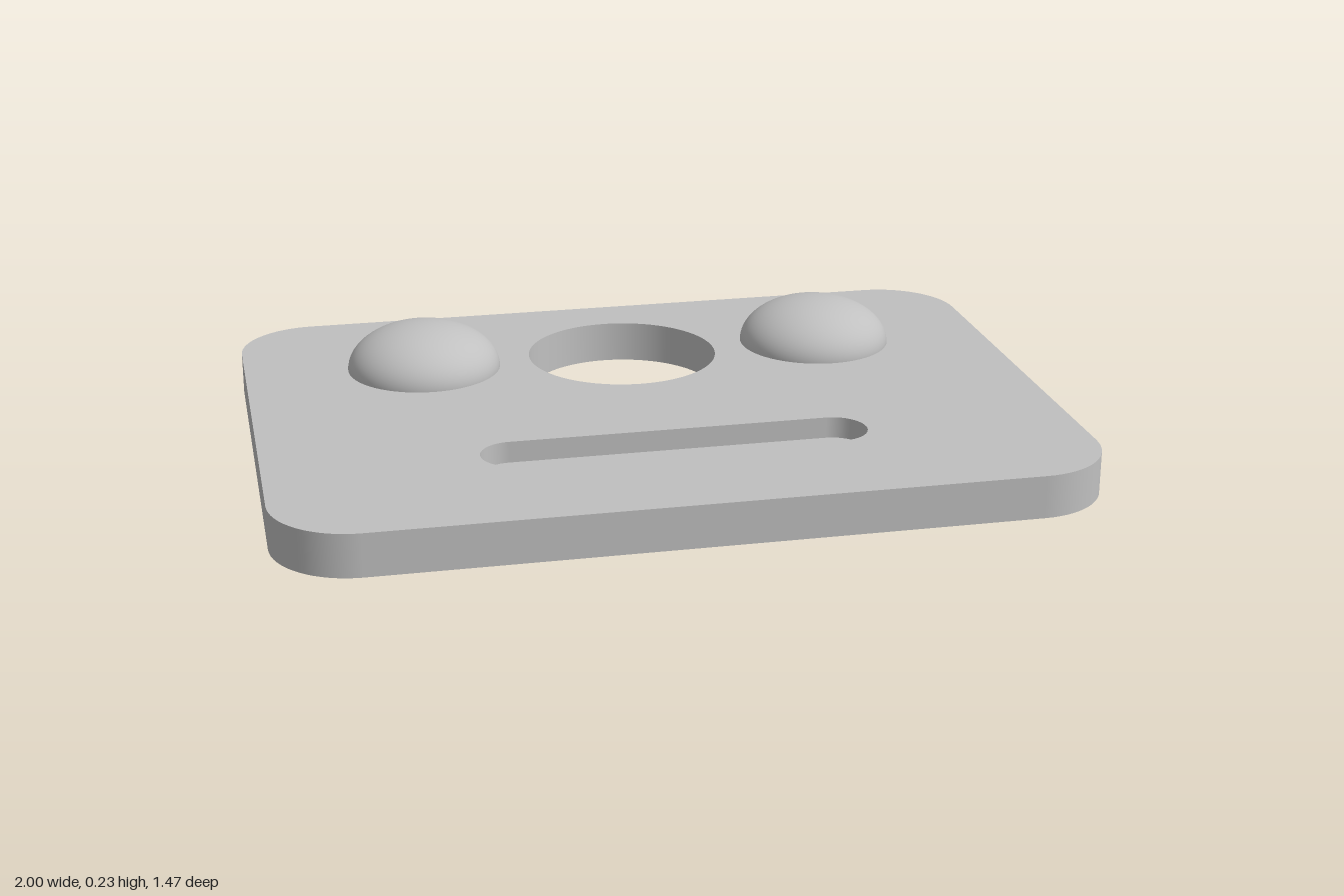
import * as THREE from 'three';
import { mergeGeometries } from 'three/addons/utils/BufferGeometryUtils.js';

const TOP = 0.107, SLOT_FLOOR = 0.053;

// Closed outline in x/z: rounded rectangle, slot or circle, with outward normals.
function outline(cz, hx, hz, r, steps) {
  const points = [];
  const corners = [[1, 1], [-1, 1], [-1, -1], [1, -1]];
  corners.forEach(([sx, sz], q) => {
    for (let i = 0; i <= steps; i++) {
      const a = (q + i / steps) * Math.PI / 2;
      const nx = Math.cos(a), nz = Math.sin(a);
      points.push({ x: sx * (hx - r) + r * nx, z: cz + sz * (hz - r) + r * nz, nx, nz });
    }
  });
  return points;
}

// Smooth upright wall along an outline; facing is 1 for outward, -1 for inward.
function wall(points, y0, y1, facing) {
  const position = [], normal = [], uv = [], index = [];
  const n = points.length;
  points.forEach((p, i) => {
    for (const y of [y0, y1]) {
      position.push(p.x, y, p.z);
      normal.push(facing * p.nx, 0, facing * p.nz);
      uv.push(i / n, y);
    }
    const l = 2 * i, u = l + 1, l2 = 2 * ((i + 1) % n), u2 = l2 + 1;
    if (facing > 0) index.push(l, u, l2, u, u2, l2);
    else index.push(l, l2, u, u, l2, u2);
  });
  const geometry = new THREE.BufferGeometry();
  geometry.setAttribute('position', new THREE.Float32BufferAttribute(position, 3));
  geometry.setAttribute('normal', new THREE.Float32BufferAttribute(normal, 3));
  geometry.setAttribute('uv', new THREE.Float32BufferAttribute(uv, 2));
  geometry.setIndex(index);
  return geometry;
}

// Flat face at height y, facing up (1) or down (-1).
function face(points, holes, y, facing) {
  const flat = (list) => list.map((p) => new THREE.Vector2(p.x, -facing * p.z));
  const shape = new THREE.Shape(flat(points));
  holes.forEach((h) => shape.holes.push(new THREE.Path(flat(h))));
  return new THREE.ShapeGeometry(shape).rotateX(-facing * Math.PI / 2).translate(0, y, 0);
}

export function createModel() {
  const model = new THREE.Group();
  model.name = 'plateWithDomes';
  const grey = new THREE.MeshStandardMaterial({ color: 0xc0c0c0 });
  grey.name = 'grey';

  const add = (name, geometry) => {
    const mesh = new THREE.Mesh(geometry, grey);
    mesh.name = name;
    model.add(mesh);
    return mesh;
  };

  const rim = outline(0, 1, 0.733, 0.2, 16);
  const hole = outline(-0.335, 0.25, 0.25, 0.25, 20);
  const slot = outline(0.333, 0.48, 0.08, 0.08, 12);

  // Plate with a round through hole
  add('plate', mergeGeometries([
    face(rim, [hole, slot], TOP, 1),
    face(rim, [hole], 0, -1),
    wall(rim, 0, TOP, 1),
  ]));
  add('roundHole', wall(hole, 0, TOP, -1));

  // Shallow blind slot
  add('slot', mergeGeometries([
    wall(slot, SLOT_FLOOR, TOP, -1),
    face(slot, [], SLOT_FLOOR, 1),
  ]));

  // Pair of flattened domes
  for (const side of [1, -1]) {
    const dome = add(
      side > 0 ? 'leftDome' : 'rightDome',
      new THREE.SphereGeometry(0.2, 64, 20, 0, Math.PI * 2, 0, Math.PI / 2),
    );
    dome.scale.y = 0.6;
    dome.position.set(side * 0.533, TOP, -0.335);
  }

  return model;
}
